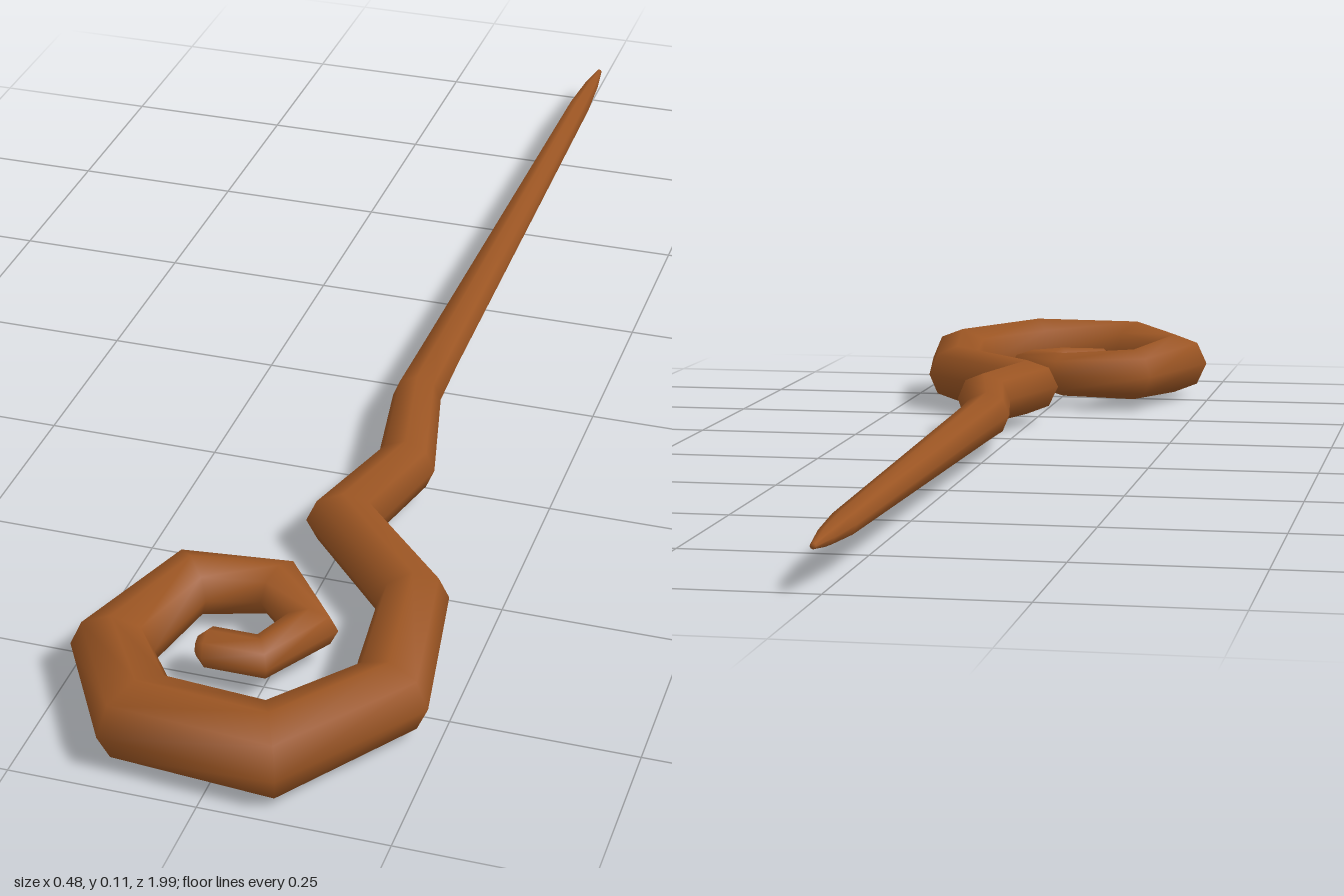
import * as THREE from 'three';

const SIDES = 8;
const CENTRE_Y = 0.058;

// Centre line on the ground plane: [x, z, radius], from the tip to the inner end of the curl
const SHAFT_AND_CURL = [
  [0.01, -1, 0.004], [0.01, -0.94, 0.012], [0.01, -0.85, 0.018], [0.012, 0, 0.032],
  [0.013, 0.11, 0.035], [0.05, 0.286, 0.041], [0.008, 0.44, 0.044],
  [0.153, 0.59, 0.046], [0.183, 0.79, 0.052], [0.074, 0.934, 0.057],
  [-0.106, 0.92, 0.057], [-0.188, 0.796, 0.05], [-0.14, 0.632, 0.042],
  [-0.024, 0.611, 0.036], [0.042, 0.685, 0.031], [0.002, 0.76, 0.027],
  [-0.07, 0.76, 0.027], [-0.084, 0.76, 0.014],
];

// Sweeps an octagon along a flat path, with mitred joints and closed ends
function sweep(path) {
  const points = path.map(([x, z]) => new THREE.Vector3(x, CENTRE_Y, z));
  const up = new THREE.Vector3(0, 1, 0);
  const positions = [];
  const index = [];
  const last = path.length - 1;

  points.forEach((p, i) => {
    const before = points[i].clone().sub(points[Math.max(i - 1, 0)]).normalize();
    const after = points[Math.min(i + 1, last)].clone().sub(points[i]).normalize();
    const tangent = before.clone().add(after).normalize();
    const miter = 1 / tangent.dot(i < last ? after : before);
    const side = up.clone().cross(tangent);
    const r = path[i][2];
    for (let j = 0; j < SIDES; j++) {
      const a = (j / SIDES) * Math.PI * 2;
      const v = p.clone()
        .addScaledVector(side, Math.cos(a) * r * miter)
        .addScaledVector(up, Math.sin(a) * r);
      positions.push(v.x, v.y, v.z);
    }
  });

  for (let i = 0; i < last; i++) {
    for (let j = 0; j < SIDES; j++) {
      const k = (j + 1) % SIDES;
      const a = i * SIDES + j, b = i * SIDES + k;
      const c = b + SIDES, d = a + SIDES;
      index.push(a, b, d, b, c, d);
    }
  }

  // End caps
  const end = last * SIDES;
  for (let j = 1; j < SIDES - 1; j++) {
    index.push(0, j + 1, j, end, end + j, end + j + 1);
  }

  const geometry = new THREE.BufferGeometry();
  geometry.setAttribute('position', new THREE.Float32BufferAttribute(positions, 3));
  geometry.setIndex(index);
  geometry.computeVertexNormals();
  return geometry;
}

export function createModel() {
  const wood = new THREE.MeshStandardMaterial({ color: 0x9b5523 });
  wood.name = 'brown wood';

  const group = new THREE.Group();
  group.name = 'curledStaff';
  const staff = new THREE.Mesh(sweep(SHAFT_AND_CURL), wood);
  staff.name = 'shaftAndCurl';
  group.add(staff);
  return group;
}
